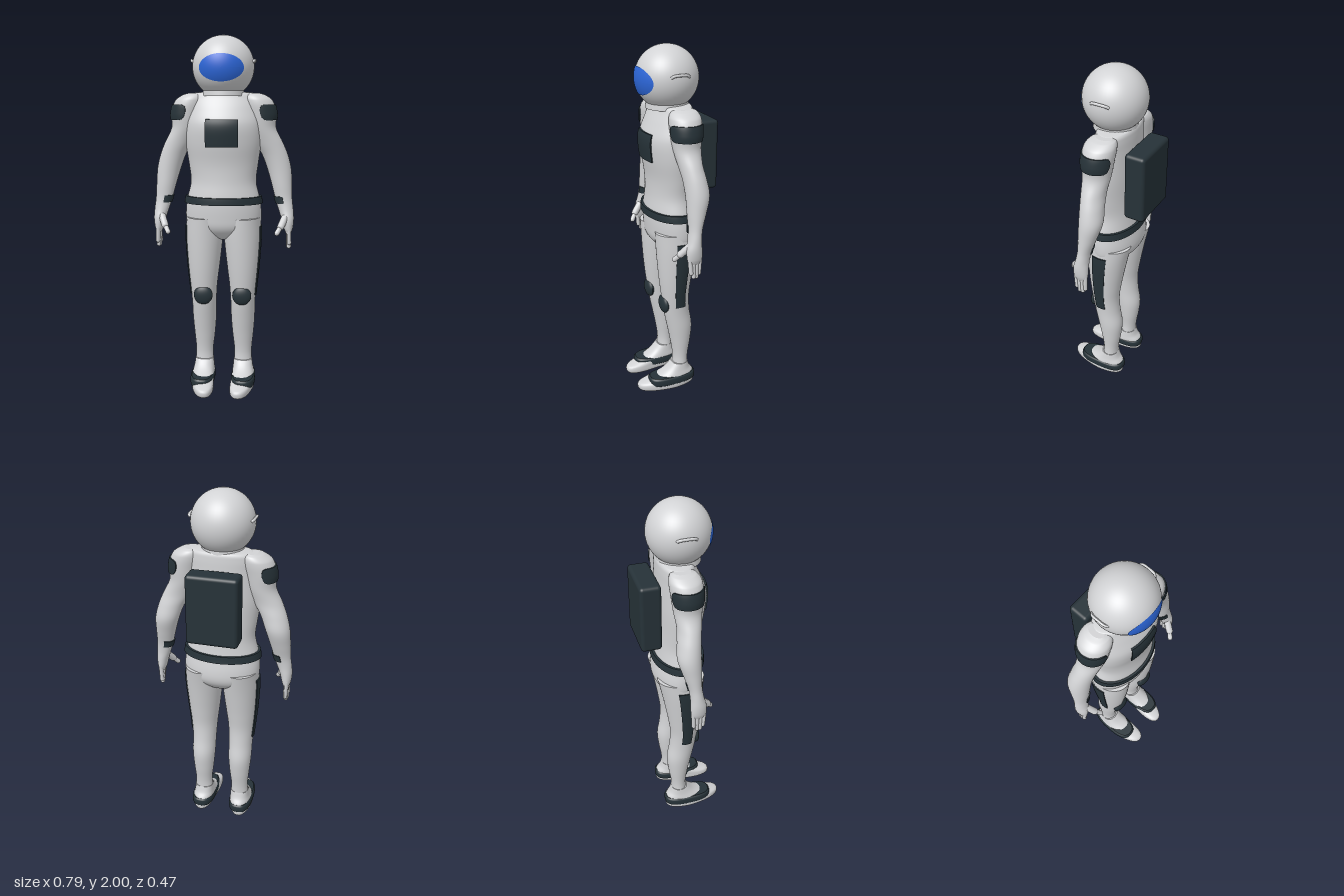
import * as THREE from 'three';
import { RoundedBoxGeometry } from 'three/addons/geometries/RoundedBoxGeometry.js';

// Cross-sections, top to bottom: [y, centre x, half width, centre z, half depth]
const TORSO = [
  [1.697, 0, 0.1, -0.02, 0.075], [1.69, 0, 0.165, -0.022, 0.088], [1.66, 0, 0.19, -0.018, 0.098],
  [1.6, 0, 0.2, -0.004, 0.114], [1.52, 0, 0.21, 0.01, 0.13], [1.42, 0, 0.21, 0.007, 0.128],
  [1.3, 0, 0.194, -0.002, 0.118], [1.2, 0, 0.184, -0.005, 0.12], [1.1, 0, 0.206, -0.005, 0.13],
  [1.0, 0, 0.215, -0.014, 0.136], [0.94, 0, 0.2, -0.014, 0.125], [0.89, 0, 0.13, -0.01, 0.08],
  [0.87, 0, 0.05, -0.01, 0.04],
];
const LEG = [
  [1.0, 0.108, 0.103, -0.014, 0.132], [0.9, 0.108, 0.105, -0.006, 0.118], [0.8, 0.11, 0.098, 0, 0.105],
  [0.7, 0.112, 0.088, 0.004, 0.092], [0.6, 0.113, 0.077, 0.004, 0.08], [0.5, 0.112, 0.07, -0.006, 0.076],
  [0.4, 0.112, 0.068, -0.024, 0.074], [0.3, 0.112, 0.06, -0.03, 0.06], [0.2, 0.113, 0.05, -0.03, 0.045],
  [0.13, 0.113, 0.053, -0.028, 0.046], [0.06, 0.115, 0.06, -0.028, 0.06],
];
const ARM = [
  [1.69, 0.165, 0.03, -0.025, 0.045], [1.68, 0.168, 0.06, -0.02, 0.068], [1.65, 0.185, 0.085, -0.015, 0.084],
  [1.58, 0.205, 0.088, -0.012, 0.083], [1.5, 0.216, 0.076, -0.012, 0.074], [1.42, 0.252, 0.078, -0.015, 0.063],
  [1.35, 0.287, 0.072, -0.024, 0.062], [1.27, 0.312, 0.067, -0.03, 0.063], [1.18, 0.328, 0.056, -0.018, 0.05],
  [1.1, 0.34, 0.047, -0.006, 0.037], [1.04, 0.353, 0.041, 0.002, 0.037], [0.99, 0.363, 0.034, 0.008, 0.043],
  [0.94, 0.367, 0.025, 0.008, 0.042], [0.91, 0.368, 0.014, 0.008, 0.034],
];
const FOOT = [
  [0.15, 0.113, 0.053, -0.025, 0.048], [0.11, 0.114, 0.058, -0.012, 0.074], [0.08, 0.116, 0.063, 0.003, 0.11],
  [0.057, 0.118, 0.064, 0.035, 0.146], [0.04, 0.12, 0.064, 0.058, 0.17], [0.012, 0.12, 0.063, 0.061, 0.173],
  [0, 0.12, 0.056, 0.06, 0.165],
];
const SHOE = [
  [0.08, 0.118, 0.06, 0.027, 0.135], [0.07, 0.118, 0.068, 0.027, 0.143],
  [0.037, 0.118, 0.068, 0.027, 0.143], [0.028, 0.118, 0.06, 0.027, 0.135],
];

// Smooth section at height y
function sectionAt(rows, y) {
  let i = 0;
  while (i < rows.length - 2 && y < rows[i + 1][0]) i++;
  const slope = (k, c) => {
    const a = rows[Math.max(k - 1, 0)], b = rows[Math.min(k + 1, rows.length - 1)];
    return (b[c] - a[c]) / (b[0] - a[0]);
  };
  const p = rows[i], q = rows[i + 1], h = q[0] - p[0], t = (y - p[0]) / h, u = 1 - t;
  return [1, 2, 3, 4].map((c) => u * u * (1 + 2 * t) * p[c] + t * t * (3 - 2 * t) * q[c]
    + h * t * u * (u * slope(i, c) - t * slope(i + 1, c)));
}

// Loft through the sections, or a raised patch between two angles (0 = front, PI/2 = outer side)
function loft(rows, { from, to, a0, a1, grow = 0, soft = 0, power = 1, segs = 40 } = {}) {
  const ys = [];
  if (from !== undefined) for (let i = 0; i <= 14; i++) ys.push(from + (to - from) * i / 14);
  else {
    for (let i = rows.length - 1; i > 0; i--)
      for (let k = 0; k < 5; k++) ys.push(rows[i][0] + (rows[i - 1][0] - rows[i][0]) * k / 5);
    ys.push(rows[0][0]);
  }
  const patch = a0 !== undefined;
  const rings = ys.map((y, j) => {
    const [cx, rx, cz, rz] = sectionAt(rows, y);
    const inset = soft * (1 - Math.sqrt(Math.max(0, 1 - (2 * j / (ys.length - 1) - 1) ** 2)));
    const s = patch ? a0 + inset : 0, e = patch ? a1 - inset : Math.PI * 2;
    const ring = [];
    const bend = (v) => Math.sign(v) * Math.abs(v) ** power;
    for (let k = 0; k < segs + (patch ? 1 : 0); k++) {
      const a = s + (e - s) * k / segs;
      ring.push([cx + (rx + grow) * bend(Math.sin(a)), y, cz + (rz + grow) * bend(Math.cos(a))]);
    }
    if (patch) { ring.unshift(ring[0]); ring.push(ring[ring.length - 1], [cx, y, cz]); }
    ring.centre = [cx, y, cz];
    return ring;
  });
  // Duplicate the end rings so the caps stay crisp
  const first = rings[0], last = rings[rings.length - 1], n = first.length;
  const all = [first.map(() => first.centre), first, ...rings, last, last.map(() => last.centre)];
  const index = [];
  for (let j = 0; j < all.length - 1; j++) {
    if (j === 1 || j === all.length - 3) continue;
    for (let k = 0; k < n; k++) {
      const a = j * n + k, b = j * n + (k + 1) % n;
      index.push(a, b, b + n, a, b + n, a + n);
    }
  }
  const geo = new THREE.BufferGeometry();
  geo.setAttribute('position', new THREE.Float32BufferAttribute(all.flat(2), 3));
  geo.setIndex(index);
  geo.computeVertexNormals();
  return geo;
}

// Mirror a geometry in x and restore its winding
function mirrored(geo) {
  const g = geo.clone().scale(-1, 1, 1), ix = g.index.array;
  for (let i = 0; i < ix.length; i += 3) [ix[i], ix[i + 1]] = [ix[i + 1], ix[i]];
  g.computeVertexNormals();
  return g;
}

// Finger with a rounded tip
function finger(a, b, r) {
  const dir = new THREE.Vector3(...b).sub(new THREE.Vector3(...a));
  return new THREE.CapsuleGeometry(r, dir.length(), 6, 12)
    .applyQuaternion(new THREE.Quaternion().setFromUnitVectors(new THREE.Vector3(0, 1, 0), dir.clone().normalize()))
    .translate((a[0] + b[0]) / 2, (a[1] + b[1]) / 2, (a[2] + b[2]) / 2);
}

export function createModel() {
  const model = new THREE.Group();
  const material = (name, color) => Object.assign(new THREE.MeshStandardMaterial({ color }), { name });
  const suit = material('suitGrey', 0xd2d3d5);
  const dark = material('darkSlate', 0x263238);
  const blue = material('visorBlue', 0x2c66d8);
  const add = (name, geo, mat) => {
    const mesh = new THREE.Mesh(geo, mat);
    mesh.name = name;
    model.add(mesh);
  };
  const pair = (name, geo, mat) => {
    add(name + 'Left', geo, mat);
    add(name + 'Right', mirrored(geo), mat);
  };

  // Helmet, collar and side clips
  add('helmet', new THREE.SphereGeometry(0.17, 48, 32).translate(0, 1.83, 0.005), suit);
  add('collar', new THREE.CylinderGeometry(0.113, 0.117, 0.035, 40).translate(0, 1.69, 0.003), suit);
  const clip = new THREE.CatmullRomCurve3([[0.158, 1.852, 0.05], [0.17, 1.862, 0.035], [0.172, 1.864, 0],
    [0.17, 1.862, -0.035], [0.158, 1.852, -0.05]].map((p) => new THREE.Vector3(...p)));
  pair('helmetClip', new THREE.TubeGeometry(clip, 20, 0.008, 8), suit);

  // Visor wrapped on the helmet
  const visor = new THREE.RingGeometry(0, 1, 48, 10), p = visor.attributes.position;
  for (let i = 0; i < p.count; i++) {
    const x = p.getX(i) * 0.12, y = p.getY(i) * 0.073 - 0.008;
    p.setXYZ(i, x, 1.83 + y, 0.005 + Math.sqrt(0.1735 ** 2 - x * x - y * y));
  }
  visor.computeVertexNormals();
  add('visor', visor, blue);

  // Torso with its fittings
  add('torso', loft(TORSO, { segs: 56 }), suit);
  add('chestPanel', loft(TORSO, { from: 1.4, to: 1.55, a0: -0.42, a1: 0.42, grow: 0.01 }), dark);
  add('belt', loft(TORSO, { from: 1.08, to: 1.12, grow: 0.013, segs: 56 }), dark);
  add('backpack', new RoundedBoxGeometry(0.283, 0.385, 0.115, 4, 0.02).translate(0, 1.417, -0.18), dark);

  // Arms and hands
  pair('arm', loft(ARM), suit);
  pair('shoulderPad', loft(ARM, { from: 1.543, to: 1.627, a0: 0, a1: 2.85, grow: 0.006, soft: 0.35 }), dark);
  pair('wristBand', loft(ARM, { from: 1.08, to: 1.12, a0: Math.PI + 0.1, a1: Math.PI * 2 - 0.1, grow: 0.006 }), dark);
  for (let i = 0; i < 4; i++) {
    const z = 0.038 - i * 0.02, tip = [0.86, 0.836, 0.834, 0.852][i];
    pair('finger' + (i + 1), finger([0.37, 0.95, z], [0.373 - i * 0.002, tip, z * 0.8], 0.0125), suit);
  }
  pair('thumbBase', finger([0.35, 1.01, 0.025], [0.325, 0.958, 0.07], 0.02), suit);
  pair('thumb', finger([0.325, 0.958, 0.07], [0.304, 0.925, 0.095], 0.014), suit);

  // Legs, pads and shoes
  pair('leg', loft(LEG), suit);
  pair('thighStripe', loft(LEG, { from: 0.55, to: 0.95, a0: 1.22, a1: 1.92, grow: 0.006 }), dark);
  pair('kneePad', new THREE.SphereGeometry(0.054, 28, 20).scale(1, 1, 0.45).translate(0.11, 0.555, 0.072), dark);
  const foot = loft(FOOT, { power: 0.85 }), f = foot.attributes.position;
  for (let i = 0; i < f.count; i++) f.setX(i, f.getX(i) - 0.13 * Math.max(0, f.getZ(i) - 0.04));
  foot.computeVertexNormals();
  pair('foot', foot, suit);
  pair('shoeBand', loft(SHOE, { power: 0.72 }), dark);
  return model;
}
